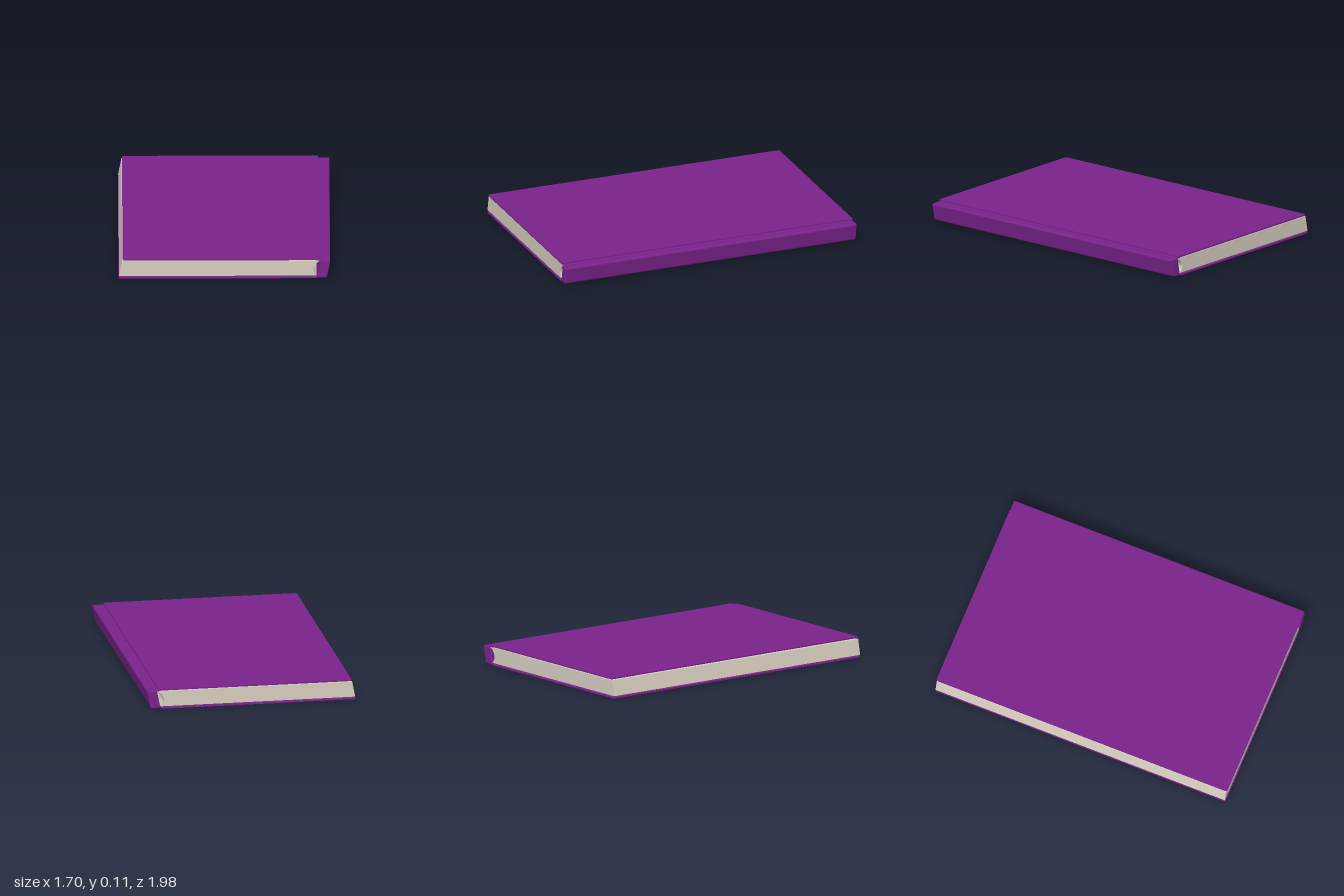
import * as THREE from 'three';

const HALF = 0.84;                        // half the height of the book
const LEAN = 0.2;                         // the book leans sideways as it rises
const TURN = -23.2 * Math.PI / 180;

export function createModel() {
  const purple = new THREE.MeshStandardMaterial({ color: 0x7a238c });
  purple.name = 'purple cover';
  const paper = new THREE.MeshStandardMaterial({ color: 0xd8cfc0 });
  paper.name = 'cream paper';

  const book = new THREE.Group();
  book.name = 'book';
  book.rotation.y = TURN;

  const add = (geometry, material, name) => {
    const mesh = new THREE.Mesh(geometry, material);
    mesh.name = name;
    book.add(mesh);
    return mesh;
  };

  // Cross-section (x, y) carried along the length of the book, leaning with height
  const along = (shape, half, bevel = 0) => {
    const g = new THREE.ExtrudeGeometry(shape, {
      depth: 2 * (half - bevel), curveSegments: 10, bevelEnabled: bevel > 0,
      bevelSize: bevel, bevelThickness: bevel, bevelOffset: -bevel, bevelSegments: 2,
    });
    g.translate(0, 0, -(half - bevel));
    const p = g.attributes.position;
    for (let i = 0; i < p.count; i++) p.setX(i, p.getX(i) + LEAN * (p.getY(i) - 0.055));
    g.computeVertexNormals();
    return g;
  };

  // Thin board with small rounded corners, lying flat
  const board = (x0, x1, y, thick) => {
    const r = 0.014, h = HALF;
    const s = new THREE.Shape();
    s.moveTo(x0 + r, -h);
    s.lineTo(x1, -h);
    s.lineTo(x1, h);
    s.lineTo(x0 + r, h);
    s.quadraticCurveTo(x0, h, x0, h - r);
    s.lineTo(x0, -h + r);
    s.quadraticCurveTo(x0, -h, x0 + r, -h);
    const g = new THREE.ExtrudeGeometry(s, { depth: thick, bevelEnabled: false, curveSegments: 4 });
    g.rotateX(-Math.PI / 2);
    g.translate(0, y, 0);
    return g;
  };
  add(board(-0.543, 0.507, 0.102, 0.007), purple, 'frontCover');
  add(board(-0.565, 0.492, 0, 0.007), purple, 'backCover');

  // Page block with a hollow curved back
  const block = new THREE.Shape();
  block.moveTo(-0.554, 0.013);
  block.lineTo(0.503, 0.013);
  block.quadraticCurveTo(0.453, 0.055, 0.503, 0.097);
  block.lineTo(-0.554, 0.097);
  block.closePath();
  add(along(block, 0.836), paper, 'pages');

  // Spine with softened edges
  const spine = new THREE.Shape();
  spine.moveTo(0.507, 0.003);
  spine.lineTo(0.552, 0.003);
  spine.quadraticCurveTo(0.561, 0.004, 0.561, 0.014);
  spine.lineTo(0.561, 0.088);
  spine.quadraticCurveTo(0.561, 0.1, 0.55, 0.1);
  spine.lineTo(0.507, 0.1);
  spine.closePath();
  add(along(spine, HALF, 0.005), purple, 'spine');

  // Sunken hinges joining the boards to the spine
  for (const [name, y] of [['frontHinge', 0.0975], ['backHinge', 0.003]]) {
    const hinge = new THREE.Shape();
    hinge.moveTo(0.485, y);
    hinge.lineTo(0.52, y);
    hinge.lineTo(0.52, y + 0.0035);
    hinge.lineTo(0.485, y + 0.0045);
    hinge.closePath();
    add(along(hinge, HALF - 0.005), purple, name);
  }

  const model = new THREE.Group();
  model.name = 'closedBook';
  model.add(book);
  return model;
}
